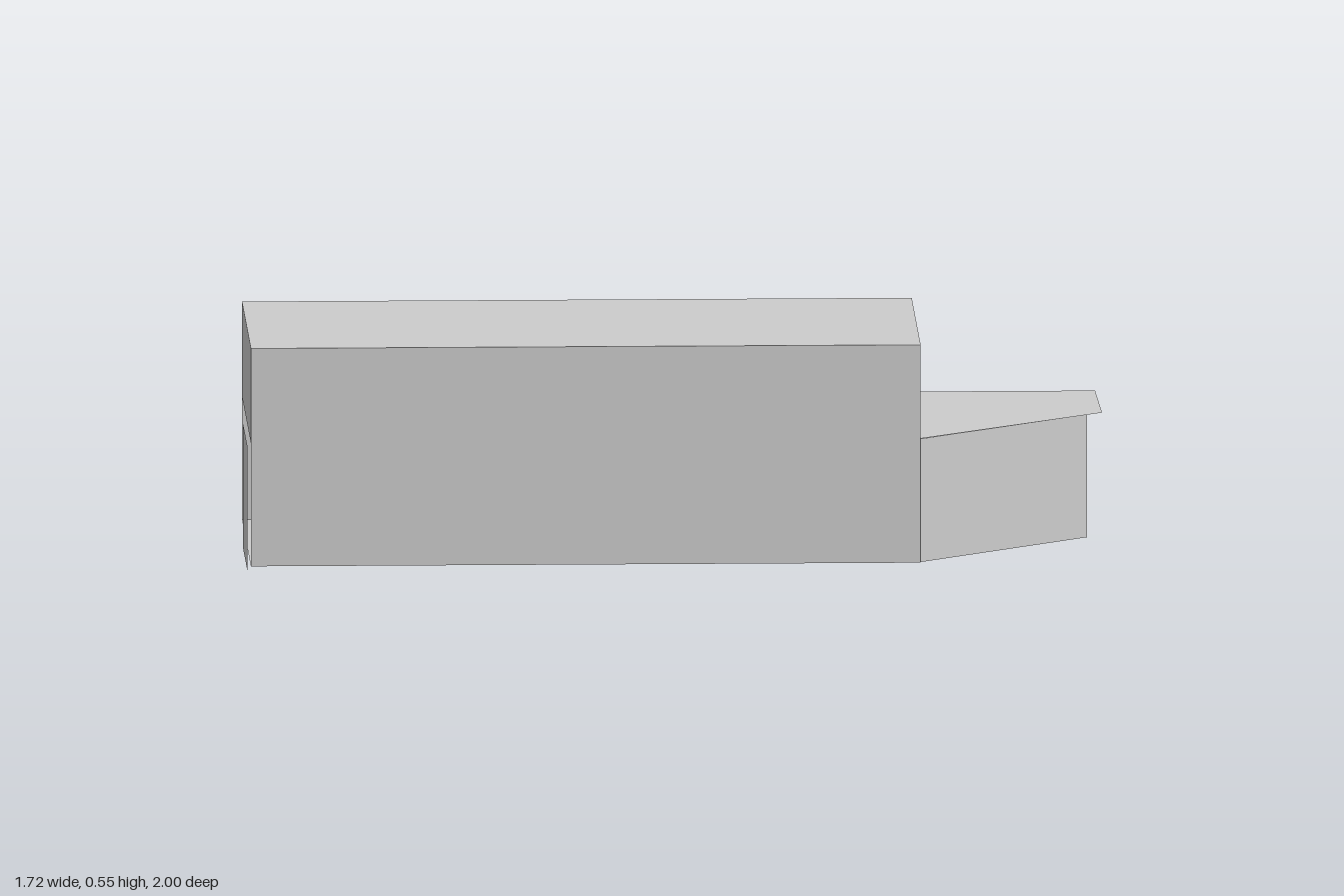
import * as THREE from 'three';

const material = new THREE.MeshStandardMaterial({ color: 0xcccccc, flatShading: true, side: THREE.DoubleSide });

// Dimensions along the length (u), across the width (v) and up
const BACK = -0.955, STEP = 0.70, NOSE = 1.122, RIGHT = -0.262, LEFT = 0.417;
const LOW = 0.313, HIGH = 0.55, BASE = 0.004;

function flatShape(points) {
  return new THREE.ShapeGeometry(new THREE.Shape(points.map(([a, b]) => new THREE.Vector2(a, b))));
}

export function createModel() {
  const model = new THREE.Group();
  model.name = 'building';
  const hall = new THREE.Group();
  hall.name = 'hall';
  hall.rotation.y = Math.PI / 4;
  model.add(hall);

  const add = (name, geometry) => {
    const mesh = new THREE.Mesh(geometry, material);
    mesh.name = name;
    hall.add(mesh);
    return mesh;
  };
  // Horizontal sheet from a plan outline of [u, v] points
  const sheet = (name, y, outline) =>
    add(name, flatShape(outline.map(([u, v]) => [u, -v])).rotateX(-Math.PI / 2).translate(0, y, 0));
  // Upright wall between two plan points
  const wall = (name, [u0, v0], [u1, v1], y0, y1) => {
    const g = new THREE.PlaneGeometry(Math.hypot(u1 - u0, v1 - v0), y1 - y0);
    g.rotateY(-Math.atan2(v1 - v0, u1 - u0));
    return add(name, g.translate((u0 + u1) / 2, (y0 + y1) / 2, (v0 + v1) / 2));
  };

  // Floor and the two flat roofs
  sheet('floor', BASE, [[BACK, RIGHT], [BACK, LEFT], [STEP - 0.01, LEFT], [NOSE, 0.064], [NOSE, RIGHT]]);
  sheet('mainRoof', HIGH, [[BACK, RIGHT], [BACK, LEFT], [STEP, LEFT], [STEP, RIGHT]]);
  sheet('lowRoof', LOW + 0.002, [[STEP, RIGHT], [STEP, LEFT], [1.16, 0.057], [1.153, RIGHT]]);

  // Stepped long wall with a doorway cut into its lower edge
  add('doorwayWall', flatShape([
    [BACK, BASE], [0.127, BASE], [0.127, LOW], [0.468, LOW], [0.468, BASE],
    [NOSE, BASE], [NOSE, LOW], [STEP, LOW], [STEP, HIGH], [BACK, HIGH],
  ]).translate(0, 0, RIGHT));

  // Remaining walls
  wall('longWall', [BACK, LEFT], [STEP, LEFT], BASE, HIGH);
  wall('upperEndWall', [BACK, RIGHT], [BACK, LEFT], LOW, HIGH);
  wall('stepWall', [STEP, RIGHT], [STEP, LEFT], LOW, HIGH);
  wall('slantedWall', [STEP - 0.01, LEFT], [NOSE, 0.064], BASE, LOW);
  wall('noseWall', [NOSE, 0.064], [NOSE, RIGHT], BASE, LOW);

  // Sliding door covering half of the open end
  wall('slidingDoor', [-0.965, 0.117], [-0.965, 0.449], 0, LOW);

  return model;
}
